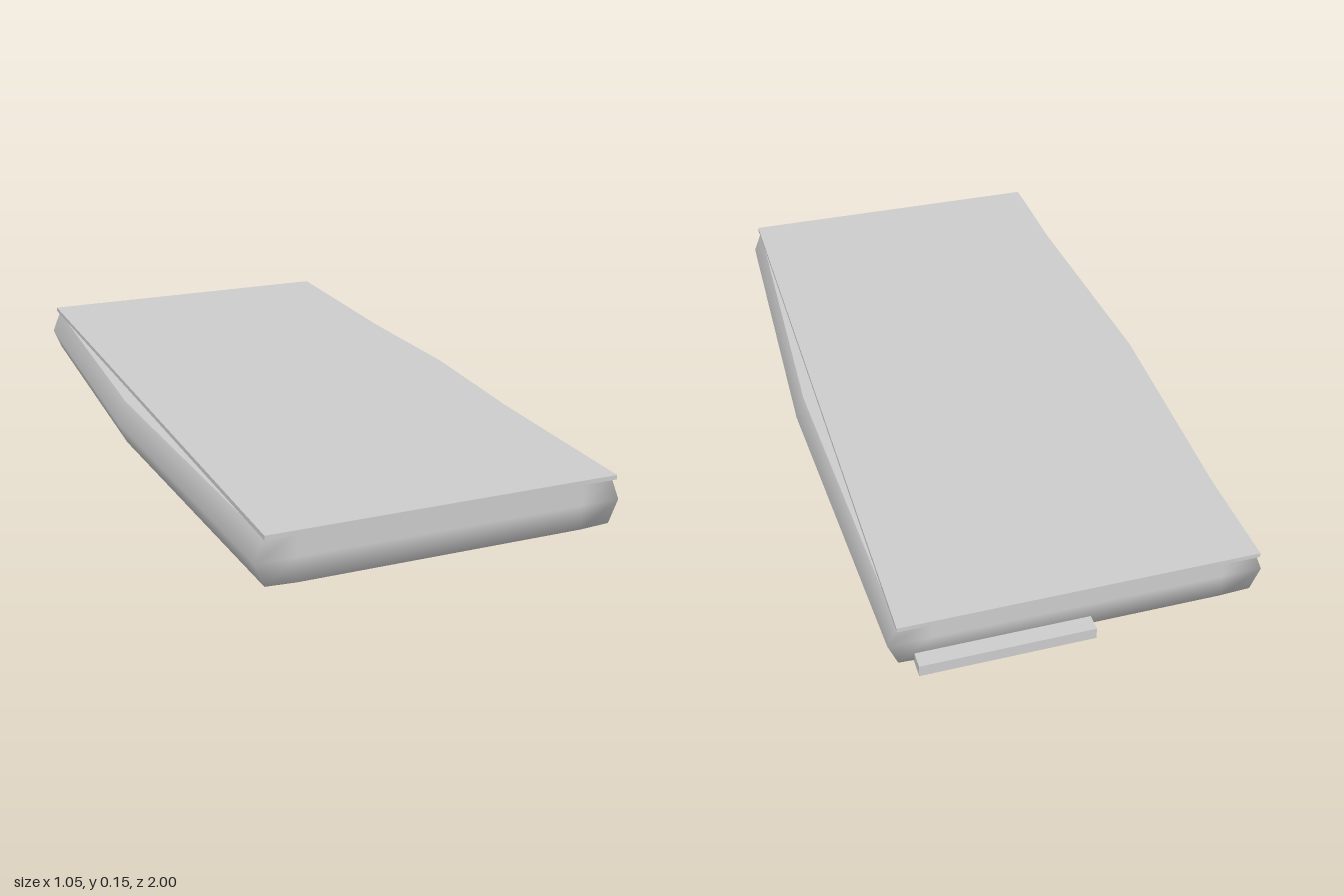
import * as THREE from 'three';

const FRONT = 0.985, BACK = -0.955;

// Outline of the body at one height: waist half-width, end half-width, scale of length
function ring(waist, end, inner, length, yCorner, yInner) {
  const f = FRONT * length, b = BACK * length;
  return [
    [waist, yCorner, 0], [end, yCorner, f], [inner, yInner, f],
    [-inner, yInner, f], [-end, yCorner, f], [-waist, yCorner, 0],
    [-end, yCorner, b], [-inner, yInner, b], [inner, yInner, b], [end, yCorner, b],
  ];
}

// Smooth-shaded shell from stacked rings, closed with flat fans
function shellGeometry(rings) {
  const n = rings[0].length;
  const pos = rings.flat(2);
  const idx = [];
  for (let r = 0; r < rings.length - 1; r++) {
    for (let i = 0; i < n; i++) {
      const j = (i + 1) % n, a = r * n, b = a + n;
      idx.push(a + i, a + j, b + j, a + i, b + j, b + i);
    }
  }
  // underside, sharing the last ring
  const last = (rings.length - 1) * n;
  const low = pos.length / 3;
  pos.push(0, rings[rings.length - 1][0][1], 0);
  for (let i = 0; i < n; i++) idx.push(last + i, last + (i + 1) % n, low);
  // deck, on its own vertices so the upper edge stays sharp
  const deck = pos.length / 3;
  pos.push(...rings[0].flat(), 0, rings[0][0][1], 0);
  for (let i = 0; i < n; i++) idx.push(deck + n, deck + (i + 1) % n, deck + i);

  const g = new THREE.BufferGeometry();
  g.setAttribute('position', new THREE.Float32BufferAttribute(pos, 3));
  g.setIndex(idx);
  g.computeVertexNormals();
  return g;
}

export function createModel() {
  const model = new THREE.Group();
  model.name = 'slimCase';
  const grey = new THREE.MeshStandardMaterial({ color: 0xcccccc });
  grey.name = 'lightGrey';

  const add = (name, geometry) => {
    const mesh = new THREE.Mesh(geometry, grey);
    mesh.name = name;
    model.add(mesh);
  };
  const box = (name, x0, x1, y0, y1, z0, z1) => add(name,
    new THREE.BoxGeometry(x1 - x0, y1 - y0, z1 - z0)
      .translate((x0 + x1) / 2, (y0 + y1) / 2, (z0 + z1) / 2));

  // Body with bulging sides and a slightly domed underside
  add('body', shellGeometry([
    ring(0.5, 0.46, 0.38, 1, 0.135, 0.135),
    ring(0.525, 0.485, 0.38, 1, 0.073, 0.073),
    ring(0.5, 0.46, 0.38, 1, 0.012, 0.008),
    ring(0.4, 0.37, 0.31, 0.84, 0.004, 0.004),
  ]));

  // Flat top plate, overhanging both ends
  box('topPlate', -0.465, 0.465, 0.135, 0.147, -0.975, 1);

  // Block under the back end
  box('rearBlock', -0.03, 0.42, 0, 0.032, -1, -0.55);

  return model;
}
